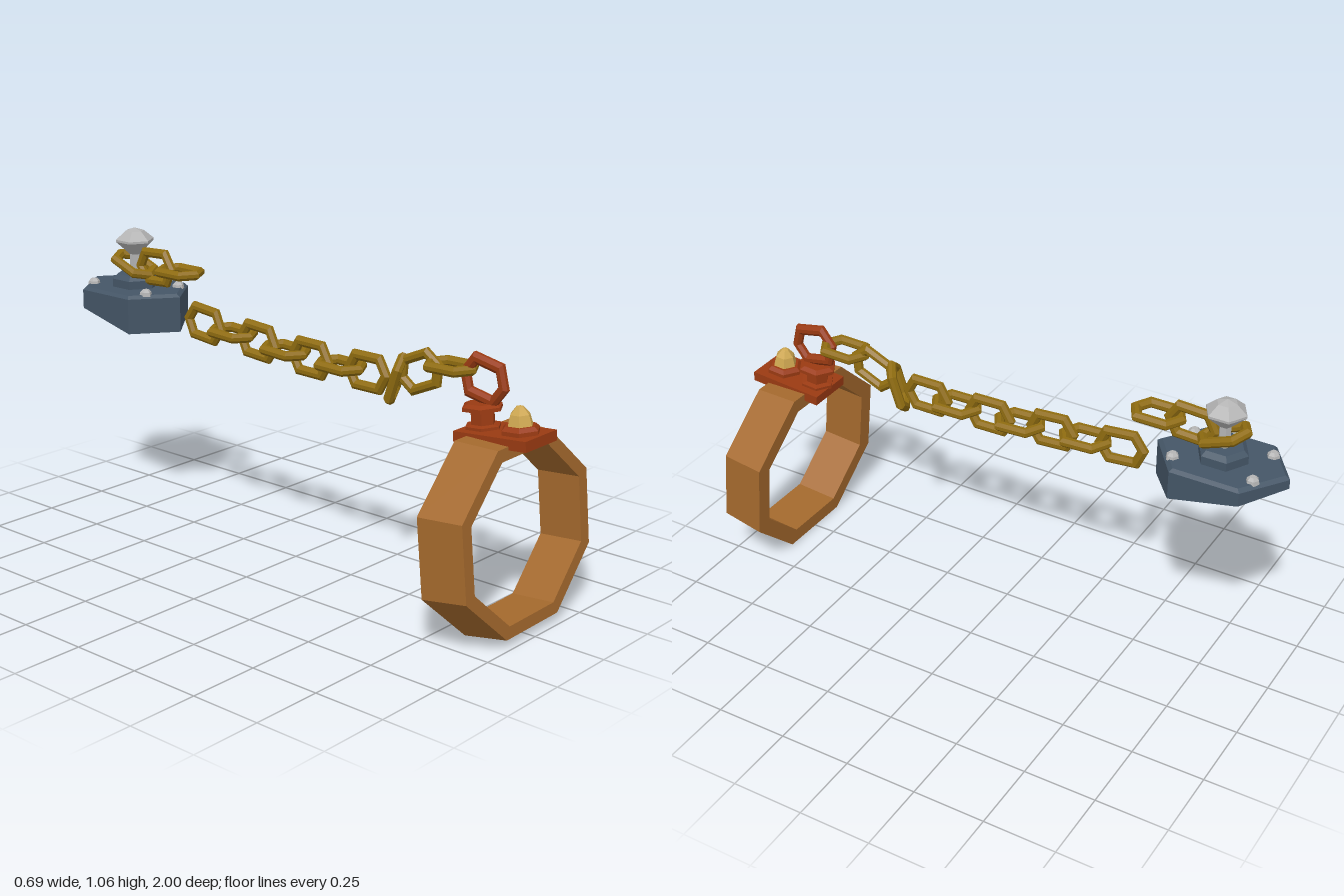
import * as THREE from 'three';

const mat = (name, color) => {
  const m = new THREE.MeshStandardMaterial({ color, flatShading: true });
  m.name = name;
  return m;
};

export function createModel() {
  const copper = mat('copper', 0xa4692d);
  const rust = mat('rust red', 0x9a3a12);
  const brass = mat('dark brass', 0x8f6c10);
  const gold = mat('pale gold', 0xcda650);
  const slate = mat('slate blue', 0x445566);
  const silver = mat('silver', 0xb4b4b4);

  const model = new THREE.Group();
  model.name = 'chainedShackle';

  function add(parent, name, geometry, material, x = 0, y = 0, z = 0) {
    const mesh = new THREE.Mesh(geometry, material);
    mesh.name = name;
    mesh.position.set(x, y, z);
    parent.add(mesh);
    return mesh;
  }
  // Faceted turned part from [radius, height] pairs, bottom to top
  const turned = (points, sides = 6, start = 0) =>
    new THREE.LatheGeometry(points.map(p => new THREE.Vector2(...p)), sides, start);

  // Octagonal cuff, slightly wider at the back and leaning back at the top
  const k = 1 / Math.cos(Math.PI / 8);
  const cuffSection = [[0.345, -0.078], [0.33, 0.078], [0.286, 0.078], [0.286, -0.078], [0.345, -0.078]];
  const cuffGeometry = turned(cuffSection.map(([r, h]) => [r * k, h]), 8, Math.PI / 8);
  cuffGeometry.rotateX(Math.PI / 2);
  cuffGeometry.scale(1, 0.915, 1);
  const cuff = add(model, 'cuff', cuffGeometry, copper, 0, 0.321, 0.882);
  cuff.rotation.set(-0.085, 0, 0.015);

  // Clasp on top of the cuff: plate, gem seat, gem and spool
  const clasp = new THREE.Group();
  clasp.name = 'clasp';
  clasp.position.set(-0.006, 0.627, 0.862);
  clasp.rotation.x = -0.085;
  model.add(clasp);
  add(clasp, 'claspPlate', new THREE.BoxGeometry(0.165, 0.034, 0.27), rust);
  add(clasp, 'gemSeat', turned([[0.064, 0.012], [0.064, 0.03], [0.052, 0.042], [0, 0.042]]), rust, 0, 0, 0.06);
  add(clasp, 'goldStud', turned([[0.043, 0.04], [0.033, 0.076], [0.012, 0.1], [0, 0.103]]), gold, 0, 0, 0.06);
  add(clasp, 'spool', turned([[0.06, 0.012], [0.06, 0.026], [0.04, 0.03], [0.04, 0.07],
    [0.068, 0.075], [0.068, 0.087], [0.05, 0.096], [0, 0.096]]), rust, 0, 0, -0.08);

  // Chain link: long six-sided loop, long axis on z, standing in the yz plane
  const hexPath = (path, tip, flat, half) => {
    const pts = [[tip, 0], [flat, half], [-flat, half], [-tip, 0], [-flat, -half], [flat, -half]];
    path.setFromPoints(pts.map(p => new THREE.Vector2(...p)));
    return path;
  };
  const linkShape = hexPath(new THREE.Shape(), 0.085, 0.053, 0.056);
  linkShape.holes.push(hexPath(new THREE.Path(), 0.071, 0.046, 0.044));
  const linkGeometry = new THREE.ExtrudeGeometry(linkShape, {
    depth: 0.012, bevelThickness: 0.01, bevelSize: 0.01, bevelSegments: 1,
  });
  linkGeometry.translate(0, 0, -0.006);
  linkGeometry.rotateY(Math.PI / 2);
  function link(name, material, y, z, pitch, roll) {
    const mesh = add(model, name, linkGeometry, material, -0.005, y, z);
    mesh.rotation.set(pitch, 0, roll);
    return mesh;
  }
  const FLAT = Math.PI / 2;
  link('claspLink', rust, 0.788, 0.78, 0.2, 0).scale.set(1, 1.13, 0.95);

  // [y, z, pitch, roll] of every brass link, from the clasp to the mount
  const links = [
    [0.807, 0.65, -0.02, FLAT],
    [0.767, 0.53, -0.42, 0],
    [0.725, 0.435, -1.25, -1.1],
    [0.725, 0.315, 0, 0],
    [0.725, 0.2, 0.02, FLAT],
    [0.726, 0.07, 0.02, 0],
    [0.732, -0.045, 0.05, FLAT],
    [0.742, -0.168, 0.07, 0],
    [0.75, -0.29, 0.05, FLAT],
    [0.76, -0.422, 0.1, 0],
    [0.925, -0.545, 0, FLAT],
    [0.925, -0.663, -0.05, 0],
    [0.92, -0.772, 0.37, FLAT],
  ];
  links.forEach(([y, z, pitch, roll], i) => link('chainLink' + (i + 1), brass, y, z, pitch, roll));

  // Mount block: pointed hexagon with chamfered top and rising underside
  const cz = -0.775;
  const outline = [[0, -0.55], [0.148, -0.66], [0.148, -0.895], [0, -1], [-0.148, -0.895], [-0.148, -0.66]];
  const bottomY = [0.707, 0.733, 0.785, 0.8, 0.765, 0.707];
  const loops = [
    outline.map(([x, z], i) => [x, bottomY[i], z]),
    outline.map(([x, z]) => [x, 0.832, z]),
    outline.map(([x, z]) => [x * 0.93, 0.843, cz + (z - cz) * 0.93]),
  ];
  const pos = [];
  for (let i = 0; i < 6; i++) {
    const j = (i + 1) % 6;
    for (let l = 0; l < 2; l++) {
      const [a, b, c, d] = [loops[l][i], loops[l][j], loops[l + 1][j], loops[l + 1][i]];
      pos.push(...a, ...b, ...c, ...a, ...c, ...d);
    }
    pos.push(0, 0.843, cz, ...loops[2][i], ...loops[2][j]);
    pos.push(0, 0.718, -0.745, ...loops[0][j], ...loops[0][i]);
  }
  const blockGeometry = new THREE.BufferGeometry();
  blockGeometry.setAttribute('position', new THREE.Float32BufferAttribute(pos, 3));
  blockGeometry.computeVertexNormals();
  add(model, 'mountBlock', blockGeometry, slate);

  // Pedestal, post with cut stone, and four rivets
  add(model, 'pedestal', turned([[0.085, 0.84], [0.085, 0.872], [0.068, 0.888], [0, 0.888]]), slate, 0, 0, cz);
  add(model, 'postAndStone', turned([[0.026, 0.885], [0.02, 0.9], [0.02, 0.958], [0.069, 1.004],
    [0.069, 1.012], [0.034, 1.042], [0, 1.053]]), silver, 0, 0, cz);
  const rivetGeometry = turned([[0.023, 0.838], [0.02, 0.852], [0.011, 0.861], [0, 0.861]]);
  for (const x of [-0.08, 0.08])
    for (const z of [-0.91, -0.64]) add(model, 'rivet', rivetGeometry, silver, x, 0, z);

  return model;
}
